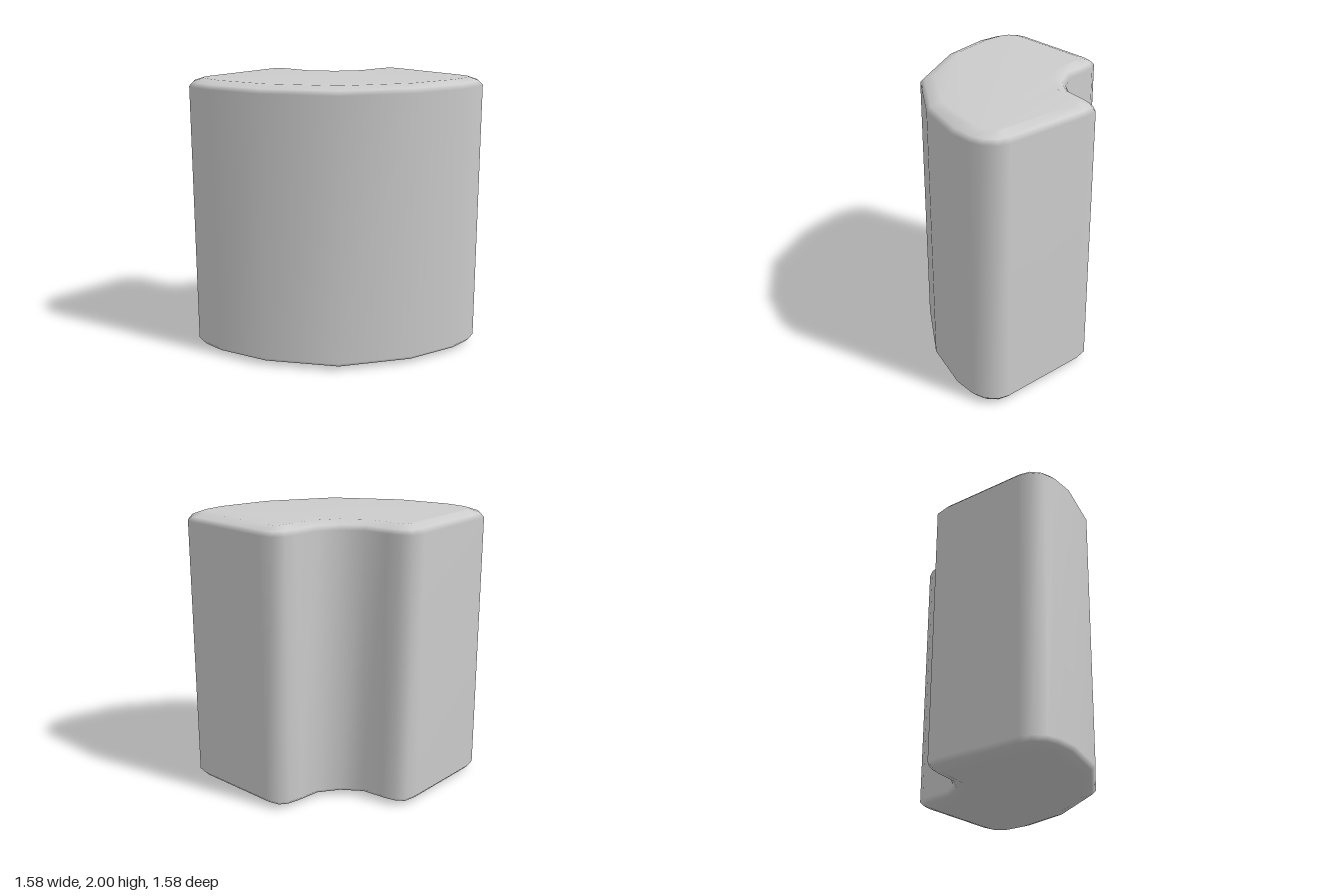
import * as THREE from 'three';

// Half of the plan outline as [x, z], from the inner bend to the outer bend
const HALF = [
  [-0.31, -0.31], [-0.22, -0.44], [-0.2, -0.61], [-0.18, -0.7], [-0.13, -0.77], [-0.03, -0.79],
  [0.61, -0.79], [0.69, -0.77], [0.76, -0.7], [0.79, -0.61], [0.79, -0.44], [0.69, -0.06], [0.4, 0.4],
];

// Rounded rims: [inset, height] of each ring, bottom to top
const RINGS = [[0.1, 0], [0.028, 0.025], [0, 0.055], [0, 1.945], [0.028, 1.975], [0.1, 2]];

// Moves every edge of the outline inward by the same distance
function insetOutline(points, distance) {
  const n = points.length;
  return points.map((p, i) => {
    const before = p.clone().sub(points[(i + n - 1) % n]).normalize();
    const after = points[(i + 1) % n].clone().sub(p).normalize();
    const n1 = new THREE.Vector2(-before.y, before.x);
    const n2 = new THREE.Vector2(-after.y, after.x);
    const miter = n1.clone().add(n2).divideScalar(1 + n1.dot(n2));
    return p.clone().addScaledVector(miter, distance);
  });
}

function curvedBlockGeometry() {
  // Mirror the half across the diagonal x = z
  const mirrored = HALF.slice(1, -1).reverse().map(([x, z]) => [z, x]);
  const outline = [...HALF, ...mirrored].map(([x, z]) => new THREE.Vector2(x, z));
  const n = outline.length;
  const positions = [];
  const index = [];

  for (const [inset, y] of RINGS) {
    for (const p of insetOutline(outline, inset)) positions.push(p.x, y, p.y);
  }

  // Walls and rounded rims
  for (let r = 0; r < RINGS.length - 1; r++) {
    for (let i = 0; i < n; i++) {
      const j = (i + 1) % n;
      const a = r * n + i, b = r * n + j;
      index.push(a, a + n, b, b, a + n, b + n);
    }
  }

  // Flat bottom and top
  const top = (RINGS.length - 1) * n;
  const faces = THREE.ShapeUtils.triangulateShape(insetOutline(outline, RINGS[0][0]), []);
  for (const [a, b, c] of faces) {
    index.push(a, b, c, top + a, top + c, top + b);
  }

  const geometry = new THREE.BufferGeometry();
  geometry.setAttribute('position', new THREE.Float32BufferAttribute(positions, 3));
  geometry.setIndex(index);
  geometry.computeVertexNormals();
  return geometry;
}

export function createModel() {
  const group = new THREE.Group();
  group.name = 'curvedCornerBlock';
  const material = new THREE.MeshStandardMaterial({ color: 0xcccccc });
  const block = new THREE.Mesh(curvedBlockGeometry(), material);
  block.name = 'block';
  group.add(block);
  return group;
}
